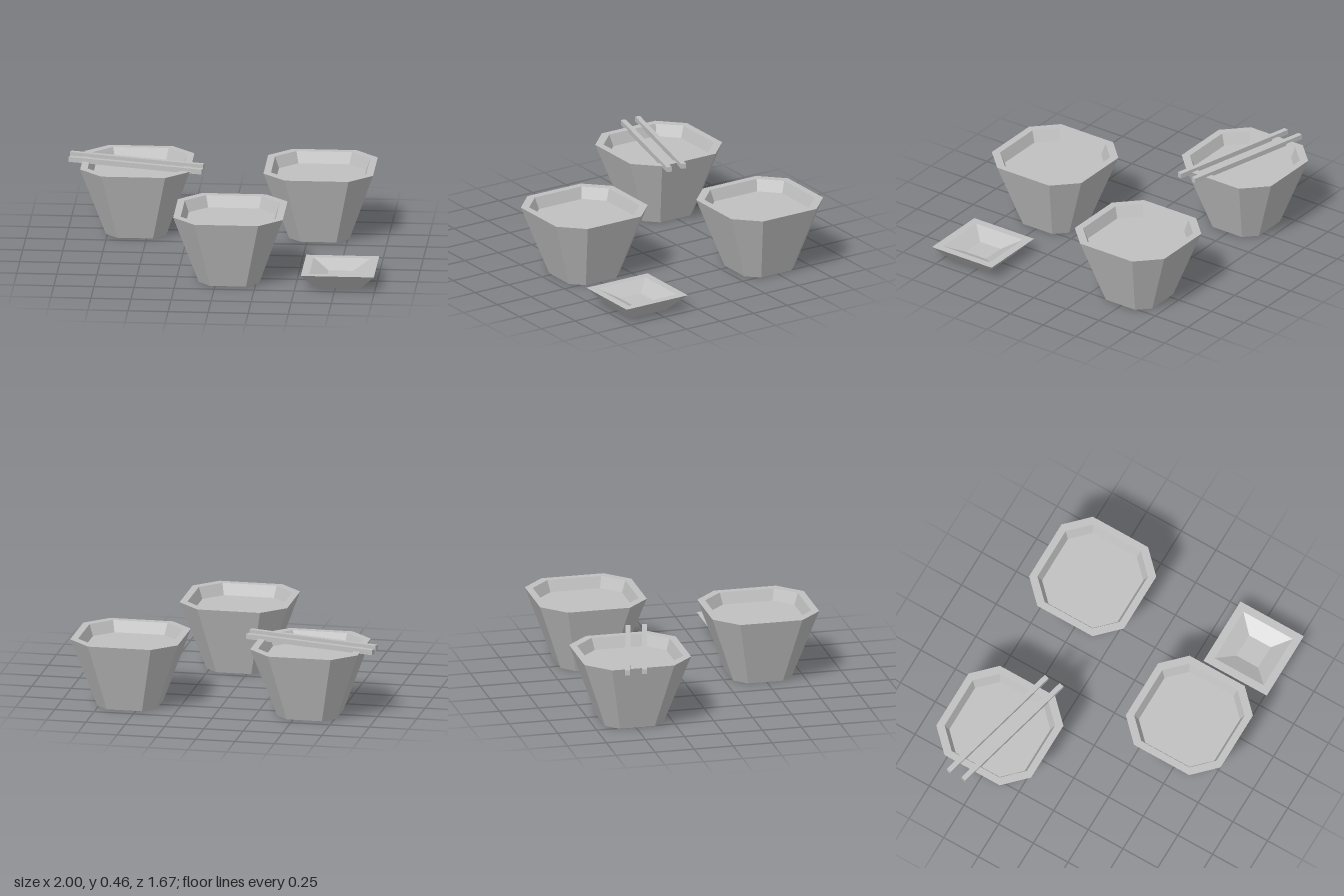
import * as THREE from 'three';

// Square ring at height y; f < h cuts the corners to make an octagon
function ring(y, h, f = h) {
  const corners = f < h
    ? [[h, f], [h, -f], [f, -h], [-f, -h], [-h, -f], [-h, f], [-f, h], [f, h]]
    : [[h, h], [h, -h], [-h, -h], [-h, h]];
  return corners.map(([x, z]) => [x, y, z]);
}

// Skin a list of rings, with optional caps on the first (down) and last (up)
function loft(rings, capStart, capEnd) {
  const pos = [];
  const tri = (...pts) => pts.forEach((p) => pos.push(...p));
  const n = rings[0].length;
  for (let r = 0; r < rings.length - 1; r++) {
    const a = rings[r], b = rings[r + 1];
    for (let i = 0; i < n; i++) {
      const j = (i + 1) % n;
      tri(a[i], a[j], b[j]);
      tri(a[i], b[j], b[i]);
    }
  }
  const first = rings[0], last = rings[rings.length - 1];
  for (let i = 1; i < n - 1; i++) {
    if (capStart) tri(first[0], first[i + 1], first[i]);
    if (capEnd) tri(last[0], last[i], last[i + 1]);
  }
  const geo = new THREE.BufferGeometry();
  geo.setAttribute('position', new THREE.Float32BufferAttribute(pos, 3));
  geo.computeVertexNormals();
  return geo;
}

export function createModel() {
  const model = new THREE.Group();
  model.name = 'tableware';
  const grey = new THREE.MeshStandardMaterial({ color: 0xc0c0c0 });
  grey.name = 'plain grey';

  const add = (parent, name, geo) => {
    const mesh = new THREE.Mesh(geo, grey);
    mesh.name = name;
    parent.add(mesh);
    return mesh;
  };

  // Three octagonal bowls, each filled to just below the rim
  const top = 0.442, level = 0.37;
  const shellGeo = loft([
    ring(0, 0.188, 0.112),
    ring(top, 0.342, 0.199),
    ring(top, 0.297, 0.173),
    ring(level, 0.272, 0.159),
  ], true, false);
  const fillGeo = loft([ring(level, 0.272, 0.159)], false, true);
  [[-0.572, -0.492], [0.572, -0.492], [0.082, 0.492]].forEach(([x, z], i) => {
    const bowl = new THREE.Group();
    bowl.name = 'bowl' + (i + 1);
    bowl.position.set(x, 0, z);
    add(bowl, 'bowlShell', shellGeo);
    add(bowl, 'bowlFilling', fillGeo);
    model.add(bowl);
  });

  // Small square dish
  const dish = add(model, 'sauceDish', loft([
    ring(0, 0.13),
    ring(0.108, 0.228),
    ring(0.108, 0.178),
    ring(0.055, 0.078),
  ], true, true));
  dish.position.set(0.771, 0, 0.552);

  // Pair of chopsticks resting across the back right bowl
  const stickGeo = new THREE.BoxGeometry(0.872, 0.032, 0.032);
  [-0.507, -0.4].forEach((z, i) => {
    const stick = add(model, 'chopstick' + (i + 1), stickGeo);
    stick.position.set(-0.573, 0.446, z);
    stick.rotation.y = -0.246;
  });

  return model;
}
